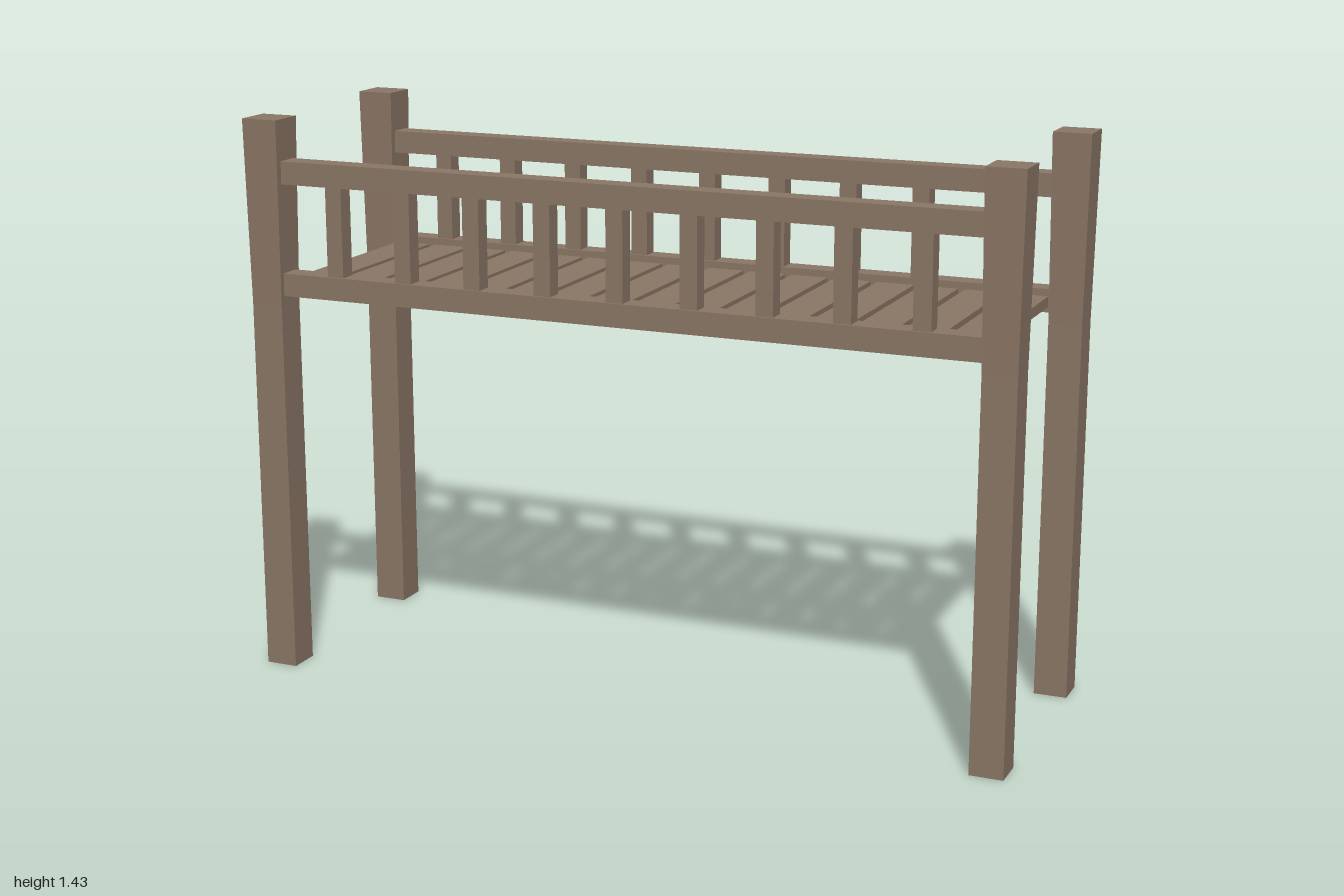
import * as THREE from 'three';

const wood = new THREE.MeshStandardMaterial({ color: 0x8b7766, flatShading: true });

function add(parent, name, geometry, x, y, z) {
  const mesh = new THREE.Mesh(geometry, wood);
  mesh.name = name;
  mesh.position.set(x, y, z);
  parent.add(mesh);
}

// Square post: straight up to the deck, then flaring slightly to its top
function postGeometry(width, topWidth, height, flareStart) {
  const geo = new THREE.BoxGeometry(width, height, width, 1, 2, 1);
  geo.translate(0, height / 2, 0);
  const p = geo.attributes.position;
  for (let i = 0; i < p.count; i++) {
    const y = p.getY(i);
    if (y > height * 0.75) {
      const k = topWidth / width;
      p.setXYZ(i, p.getX(i) * k, y, p.getZ(i) * k);
    } else if (y > height * 0.25) {
      p.setY(i, flareStart);
    }
  }
  geo.computeVertexNormals();
  return geo;
}

export function createModel() {
  const model = new THREE.Group();
  model.name = 'woodenBridge';
  const sideZ = 0.287;

  const post = postGeometry(0.084, 0.096, 1.43, 0.96);
  const rail = new THREE.BoxGeometry(1.82, 0.058, 0.057);
  const baluster = new THREE.BoxGeometry(0.044, 0.24, 0.044);
  const plank = new THREE.BoxGeometry(0.096, 0.027, 0.53);

  // Each long side: two posts, two rails and nine balusters
  for (const s of [1, -1]) {
    const side = new THREE.Group();
    side.name = s > 0 ? 'frontRailing' : 'backRailing';
    side.position.z = s * sideZ;
    for (const x of [-0.952, 0.952]) add(side, 'post', post, x, 0, 0);
    add(side, 'lowerRail', rail, 0, 1.013, 0);
    add(side, 'upperRail', rail, 0, 1.297, 0);
    for (let i = -4; i <= 4; i++) add(side, 'baluster', baluster, i * 0.1906, 1.155, 0);
    model.add(side);
  }

  // Deck of sixteen planks with narrow gaps
  const deck = new THREE.Group();
  deck.name = 'deck';
  for (let i = 0; i < 16; i++) add(deck, 'plank', plank, (i - 7.5) * 0.1141, 1.011, 0);
  model.add(deck);

  return model;
}
